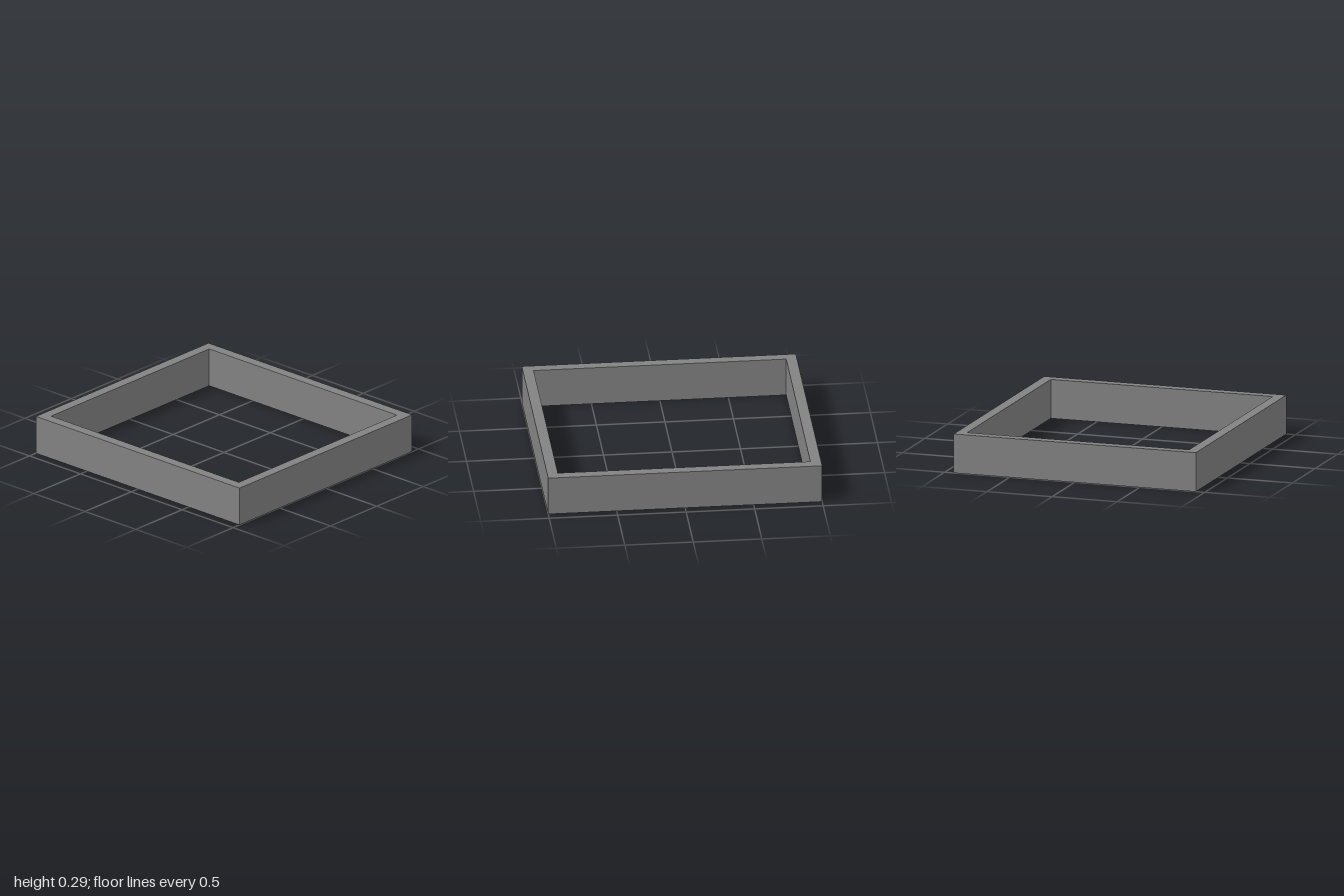
import * as THREE from 'three';

const WIDTH = 2, DEPTH = 1.862, HEIGHT = 0.29, WALL = 0.078;
const INNER_WIDTH = WIDTH - 2 * WALL, INNER_DEPTH = DEPTH - 2 * WALL;

// Closed rectangle centred on the origin
function rectangle(path, w, d) {
  const x = w / 2, y = d / 2;
  path.moveTo(-x, -y);
  path.lineTo(x, -y);
  path.lineTo(x, y);
  path.lineTo(-x, y);
  path.closePath();
  return path;
}

// Four upright sheets around a w by d rectangle, facing outwards or inwards
function wallRing(name, w, d, facesInwards, material) {
  const ring = new THREE.Group();
  ring.name = name;
  ['front', 'left', 'back', 'right'].forEach((side, i) => {
    const [length, distance] = i % 2 ? [d, w / 2] : [w, d / 2];
    const geometry = new THREE.PlaneGeometry(length, HEIGHT);
    if (facesInwards) geometry.rotateY(Math.PI);
    geometry.translate(0, HEIGHT / 2, distance);
    geometry.rotateY(i * Math.PI / 2);
    const wall = new THREE.Mesh(geometry, material);
    wall.name = `${side}Wall`;
    ring.add(wall);
  });
  return ring;
}

export function createModel() {
  const group = new THREE.Group();
  group.name = 'openFrame';
  const material = new THREE.MeshStandardMaterial({ color: 0x828282, side: THREE.DoubleSide });

  // Outer and inner skins of the hollow walls, left open underneath
  group.add(wallRing('outerWalls', WIDTH, DEPTH, false, material));
  group.add(wallRing('innerWalls', INNER_WIDTH, INNER_DEPTH, true, material));

  // Flat rim closing the gap between the skins at the top
  const outline = rectangle(new THREE.Shape(), WIDTH, DEPTH);
  outline.holes.push(rectangle(new THREE.Path(), INNER_WIDTH, INNER_DEPTH));
  const rim = new THREE.Mesh(new THREE.ShapeGeometry(outline).rotateX(-Math.PI / 2), material);
  rim.name = 'topRim';
  rim.position.y = HEIGHT;
  group.add(rim);
  return group;
}
